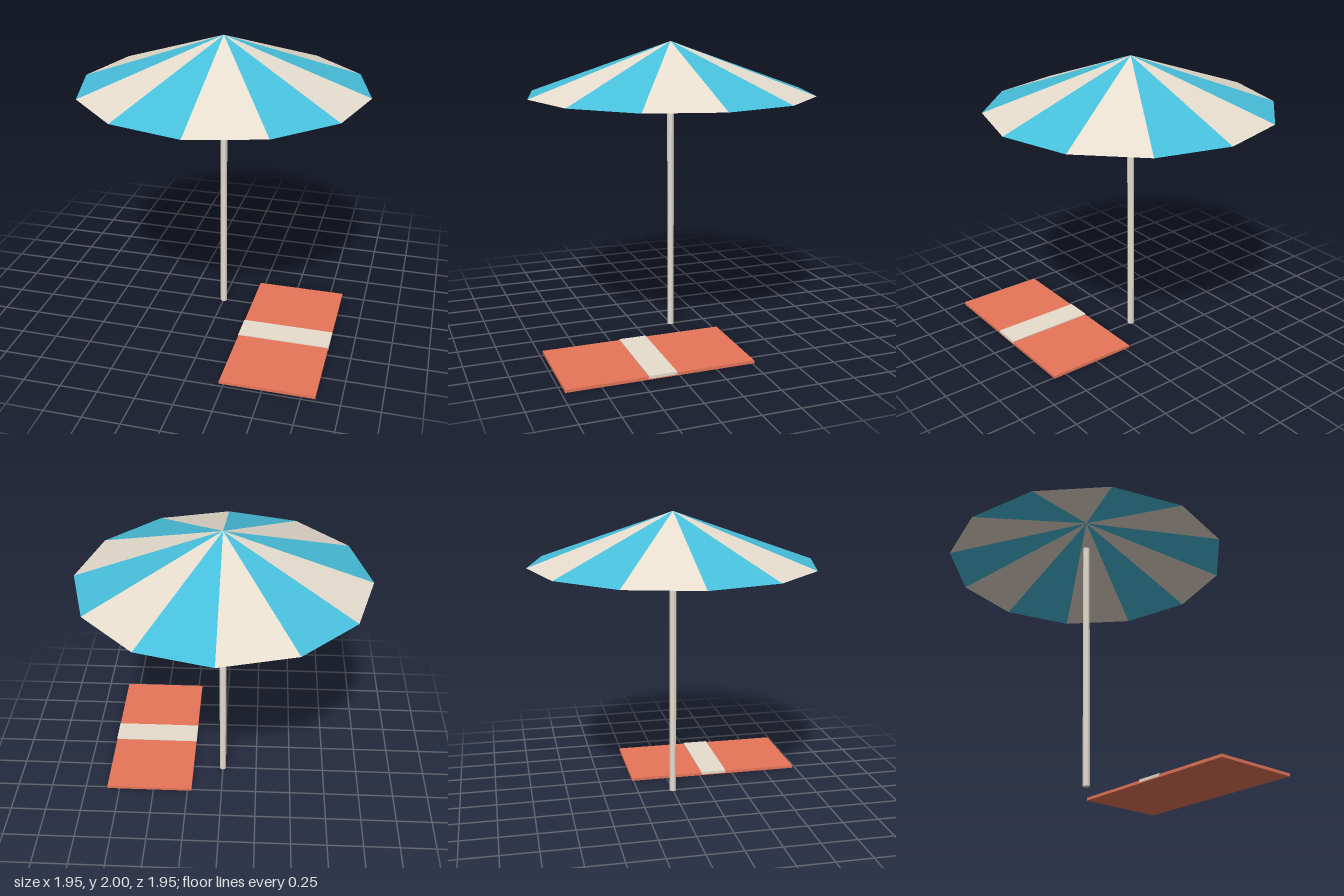
import * as THREE from 'three';

const SIDES = 12;

function material(name, color, options = {}) {
  const m = new THREE.MeshStandardMaterial({ color, flatShading: true, ...options });
  m.name = name;
  return m;
}

function part(name, geometry, mat, x = 0, y = 0, z = 0) {
  const mesh = new THREE.Mesh(geometry, mat);
  mesh.name = name;
  mesh.position.set(x, y, z);
  return mesh;
}

export function createModel() {
  const cream = material('cream', 0xe8dfd0, { side: THREE.DoubleSide });
  const teal = material('teal', 0x48c0dc, { side: THREE.DoubleSide });
  const coral = material('coral', 0xe8765a);

  const model = new THREE.Group();
  model.name = 'beachParasolAndTowel';

  // Canopy: open cone of flat panels in alternating colours
  const canopy = new THREE.Group();
  canopy.name = 'canopy';
  const step = (Math.PI * 2) / SIDES;
  for (let i = 0; i < SIDES; i++) {
    const panel = new THREE.ConeGeometry(0.977, 0.35, 1, 1, true, i * step, step);
    canopy.add(part(`canopyPanel${i + 1}`, panel, i % 2 ? teal : cream, 0, 1.825, 0));
  }
  model.add(canopy);

  // Pole: ends just under the canopy peak
  model.add(part('pole', new THREE.CylinderGeometry(0.024, 0.024, 1.78, 8), cream, 0, 0.89, 0));

  // Towel with a raised band across its middle
  const towel = new THREE.Group();
  towel.name = 'towel';
  towel.add(part('towelCloth', new THREE.BoxGeometry(0.62, 0.02, 1.24), coral, 0.53, 0.01, 0.357));
  towel.add(part('towelBand', new THREE.BoxGeometry(0.623, 0.019, 0.185), cream, 0.53, 0.0165, 0.357));
  model.add(towel);

  return model;
}
